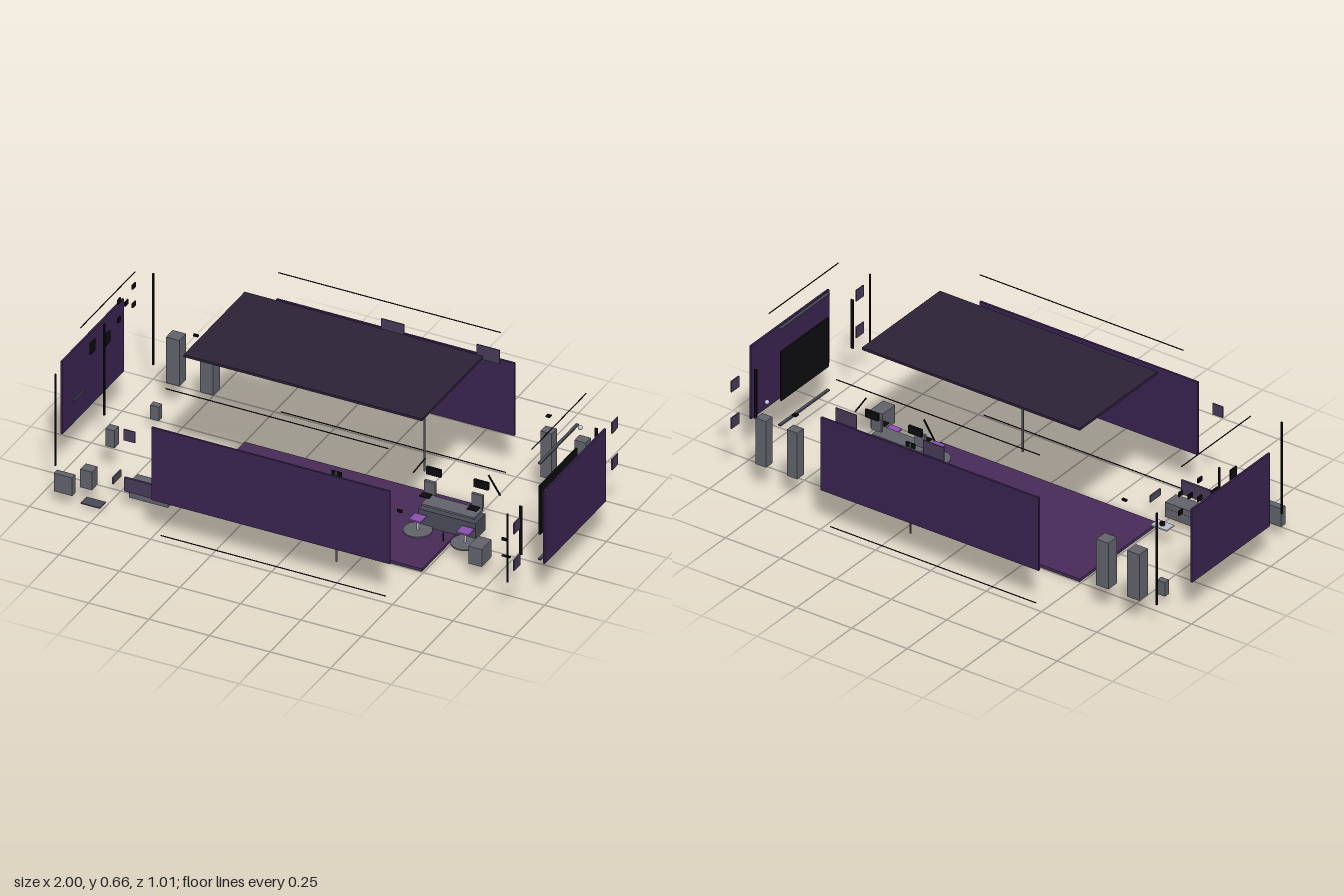
import * as THREE from 'three';

const material = (color) => new THREE.MeshStandardMaterial({ color });

export function createModel() {
  const room = new THREE.Group();
  room.name = 'explodedRoom';
  const wallMat = material(0x3a2350), roofMat = material(0x2c2238), floorMat = material(0x472b58);
  const black = material(0x0c0c10), grey = material(0x62626c), slate = material(0x4a4a56);
  const plum = material(0x463a58), pale = material(0xb8bcc8), violet = material(0x8a4fb0);

  const add = (name, geometry, mat, x, y, z) => {
    const mesh = new THREE.Mesh(geometry, mat);
    mesh.name = name;
    mesh.position.set(x, y, z);
    room.add(mesh);
    return mesh;
  };
  // Box given by its centre and size
  const box = (name, mat, x, y, z, w, h, d) => add(name, new THREE.BoxGeometry(w, h, d), mat, x, y, z);
  const cyl = (name, mat, x, y, z, r, h) => add(name, new THREE.CylinderGeometry(r, r, h, 24), mat, x, y, z);

  // Shell pulled apart: floor, roof and four walls
  box('floor', floorMat, 0, 0.006, 0, 0.985, 0.012, 0.494);
  box('roof', roofMat, 0, 0.656, 0, 0.985, 0.01, 0.494);
  for (const s of [-1, 1]) {
    box(s > 0 ? 'frontWall' : 'backWall', wallMat, 0, 0.333, s * 0.503, 0.985, 0.314, 0.008);
    box('endWall', wallMat, s * 0.996, 0.333, 0, 0.008, 0.314, 0.494);
    // Light strips along floor and ceiling
    box('floorStrip', black, 0, 0.018, s * 0.485, 0.93, 0.003, 0.003);
    box('ceilingStrip', black, 0, 0.638, s * 0.455, 0.92, 0.003, 0.003);
    box('endStrip', black, s * 0.932, 0.638, 0, 0.003, 0.003, 0.44);
    // Posts beside the long walls, with a small lamp head
    box('post', grey, 0.195, 0.215, s * 0.355, 0.006, 0.39, 0.006);
    box('lampHead', black, 0.195, 0.4, s * 0.355, 0.04, 0.02, 0.006);
    // Square panels on the left end wall
    for (const y of [0.412, 0.254]) box('wallPanel', plum, 0.96, y, s * 0.395, 0.005, 0.047, 0.048);
  }

  // Back wall panels and a small front wall frame
  for (const x of [-0.002, 0.392]) box('backPanel', plum, x, 0.51, -0.485, 0.095, 0.06, 0.004);
  box('frontFrame', plum, -0.594, 0.412, 0.485, 0.046, 0.048, 0.004);
  box('sconce', black, -0.69, 0.42, -0.24, 0.02, 0.008, 0.01);

  // Screen with its frame pulled outwards
  box('screen', black, 0.928, 0.335, 0, 0.008, 0.21, 0.3);
  for (const s of [-1, 1]) {
    box('screenSide', black, 0.93, 0.335, s * 0.305, 0.012, 0.21, 0.005);
    box('screenRail', slate, 0.93, 0.333 + s * 0.207, 0, 0.012, 0.006, 0.31);
  }
  box('wallRod', black, 0.942, 0.333, 0.435, 0.006, 0.295, 0.006);

  // Right end wall: slim bars, tile cluster, pictures and shelf
  for (const z of [-0.395, 0, 0.395]) box('wallBar', black, -0.946, 0.333, z, 0.006, 0.395, 0.007);
  for (const [z, y] of [[-0.137, 0.55], [-0.258, 0.55], [-0.197, 0.51], [-0.137, 0.47], [-0.258, 0.47]])
    box('wallTile', black, -0.956, y, z, 0.005, 0.02, 0.025);
  box('picture', black, -0.956, 0.47, 0.075, 0.005, 0.05, 0.04);
  box('picture', black, -0.956, 0.44, -0.045, 0.005, 0.05, 0.04);
  box('wallShelf', slate, -0.956, 0.32, 0.186, 0.005, 0.008, 0.09);

  // Tall cabinets
  for (const x of [-0.833, -0.693]) box('tallCabinet', grey, x, 0.216, -0.358, 0.055, 0.198, 0.055);
  for (const x of [0.687, 0.828]) box('slimCabinet', grey, x, 0.216, -0.395, 0.047, 0.198, 0.042);
  add('ornament', new THREE.SphereGeometry(0.009, 16, 12), pale, 0.827, 0.373, -0.378);
  box('cabinetTray', black, 0.687, 0.375, -0.395, 0.018, 0.005, 0.018);

  // Low boxes and mat in the front right corner
  box('lowBox', grey, -0.888, 0.098, 0.434, 0.076, 0.078, 0.027);
  box('lowBox', grey, -0.828, 0.098, 0.356, 0.048, 0.078, 0.045);
  box('mat', slate, -0.79, 0.018, 0.395, 0.08, 0.004, 0.048);
  box('pedestal', grey, -0.833, 0.163, 0.157, 0.036, 0.075, 0.036);
  box('pedestal', grey, -0.833, 0.075, -0.197, 0.036, 0.06, 0.027);

  // Sofa taken apart: seat, cushion, back and arms
  box('sofaSeat', grey, -0.595, 0.056, 0.295, 0.16, 0.038, 0.068);
  box('sofaCushion', grey, -0.595, 0.088, 0.295, 0.16, 0.025, 0.068);
  box('sofaBack', plum, -0.595, 0.116, 0.365, 0.16, 0.06, 0.008);
  for (const s of [-1, 1]) box('sofaArm', slate, -0.595 + s * 0.149, 0.088, 0.295, 0.006, 0.028, 0.065);

  // Low table with a small bowl
  box('tableTop', pale, -0.593, 0.09, 0.135, 0.074, 0.005, 0.048);
  cyl('bowl', black, -0.593, 0.098, 0.135, 0.01, 0.012);

  // Desk, its top, shelf and loose end panels
  box('desk', slate, 0.49, 0.09, 0, 0.235, 0.07, 0.08);
  box('deskTop', grey, 0.49, 0.142, 0, 0.22, 0.008, 0.07);
  box('deskShelf', grey, 0.49, 0.04, 0, 0.2, 0.004, 0.03);
  box('sideBox', grey, 0.688, 0.095, 0.16, 0.055, 0.075, 0.08);
  box('footRest', black, 0.745, 0.035, 0.06, 0.035, 0.004, 0.01);
  for (const z of [-0.07, 0.07]) box('deskFoot', black, 0.49, 0.052, z, 0.005, 0.035, 0.004);

  // Two matching desk places: stool, monitor and slanted arm
  for (const s of [-1, 1]) {
    const x = 0.488 + s * 0.098;
    cyl('stoolBase', grey, x, 0.06, 0.08, 0.055, 0.005);
    cyl('stoolPost', pale, x, 0.085, 0.08, 0.005, 0.048);
    box('stoolSeat', violet, x, 0.111, 0.08, 0.05, 0.006, 0.05);
    box('monitor', black, x, 0.24, -0.05, 0.06, 0.032, 0.01);
    box('deskUnit', grey, x, 0.188, -0.02, 0.046, 0.056, 0.012);
    box('keyboard', black, x, 0.173, 0.015, 0.04, 0.004, 0.03);
    const arm = box('deskArm', black, 0.49 + s * 0.155, 0.258, -0.04, 0.005, 0.09, 0.005);
    arm.rotation.z = s * 0.58;
    box('endPanel', black, 0.49 + s * 0.215, 0.065, 0, 0.02, 0.012, 0.005);
  }

  return room;
}
